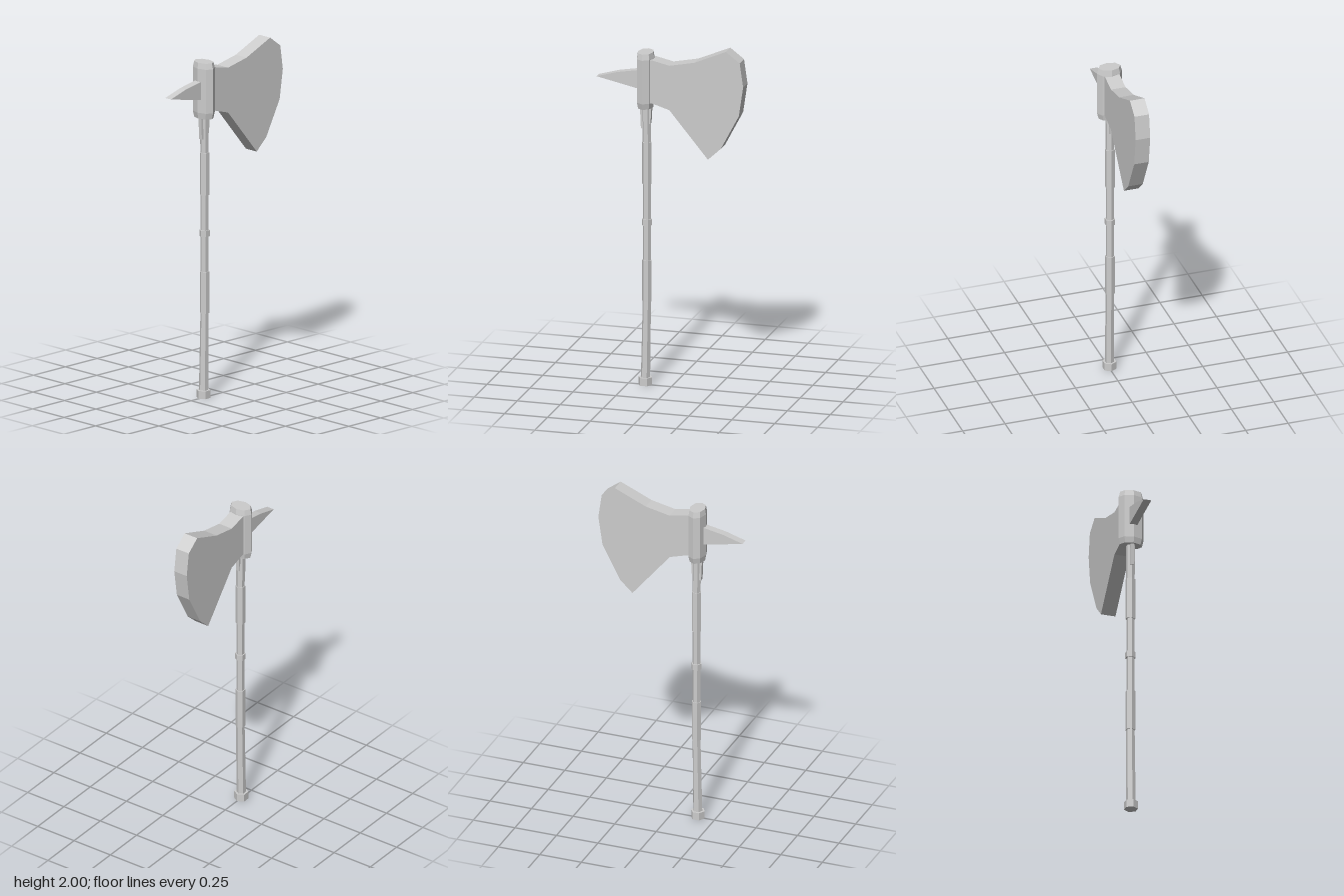
import * as THREE from 'three';

const grey = new THREE.MeshStandardMaterial({ color: 0xcccccc, flatShading: true });
grey.name = 'plainGrey';

export function createModel() {
  const axe = new THREE.Group();
  axe.name = 'battleAxe';

  const add = (name, geometry, x = 0, y = 0, z = 0) => {
    const mesh = new THREE.Mesh(geometry, grey);
    mesh.name = name;
    mesh.position.set(x, y, z);
    axe.add(mesh);
    return mesh;
  };

  // Flat plate cut from an outline, between two depths
  const plate = (name, outline, back, front) => {
    const shape = new THREE.Shape(outline.map(([x, y]) => new THREE.Vector2(x, y)));
    add(name, new THREE.ExtrudeGeometry(shape, { depth: front - back, bevelEnabled: false }), 0, 0, back);
  };

  // Six-sided handle section with corners pointing left and right, able to lean
  const section = (name, y0, y1, r0, r1, x0, x1) => {
    const h = y1 - y0;
    const g = new THREE.CylinderGeometry(r1, r0, h, 6, 1, false, Math.PI / 2);
    const p = g.attributes.position;
    for (let i = 0; i < p.count; i++) {
      const t = p.getY(i) / h + 0.5;
      p.setX(i, p.getX(i) + x0 + (x1 - x0) * t);
    }
    add(name, g, 0, (y0 + y1) / 2, -0.001);
  };

  // Handle, bottom to top
  section('pommel', 0, 0.045, 0.04, 0.04, -0.152, -0.152);
  section('lowerShaft', 0.04, 0.5, 0.027, 0.024, -0.151, -0.143);
  section('lowerGrip', 0.49, 0.73, 0.028, 0.028, -0.143, -0.143);
  section('middleShaft', 0.72, 1.18, 0.023, 0.023, -0.143, -0.143);
  section('gripRing', 0.935, 0.97, 0.03, 0.03, -0.143, -0.143);
  section('upperGrip', 1.175, 1.42, 0.028, 0.028, -0.143, -0.143);
  section('upperShaft', 1.41, 1.65, 0.024, 0.026, -0.143, -0.147);

  // Tapered straps running down from the socket
  for (const [name, side, low] of [['rightStrap', -1, 1.5], ['leftStrap', 1, 1.53]]) {
    const x = -0.147;
    plate(name, [
      [x + side * 0.015, 1.64], [x + side * 0.034, 1.64],
      [x + side * 0.028, low], [x + side * 0.015, low],
    ].sort(() => 0), -0.012, 0.01);
  }

  // Eight-sided oval socket with chamfered rims
  const profile = [[0, 1.625], [0.88, 1.625], [1, 1.66], [1, 1.915], [0.88, 1.948], [0, 1.948]];
  const socket = new THREE.LatheGeometry(profile.map(([r, y]) => new THREE.Vector2(r, y)), 8);
  socket.scale(0.05, 1, 0.073);
  add('socket', socket, -0.15, 0, 0);

  plate('blade', [
    [-0.14, 1.66], [-0.1, 1.66], [0, 1.63], [0.225, 1.36], [0.3, 1.43], [0.405, 1.63],
    [0.43, 1.8], [0.41, 1.94], [0.33, 2], [0.145, 1.92], [0, 1.89], [-0.1, 1.912], [-0.14, 1.915],
  ], -0.045, 0.041);

  plate('backSpike', [
    [-0.43, 1.785], [-0.17, 1.73], [-0.17, 1.845], [-0.2, 1.84], [-0.31, 1.82],
  ], -0.024, 0.021);

  return axe;
}
